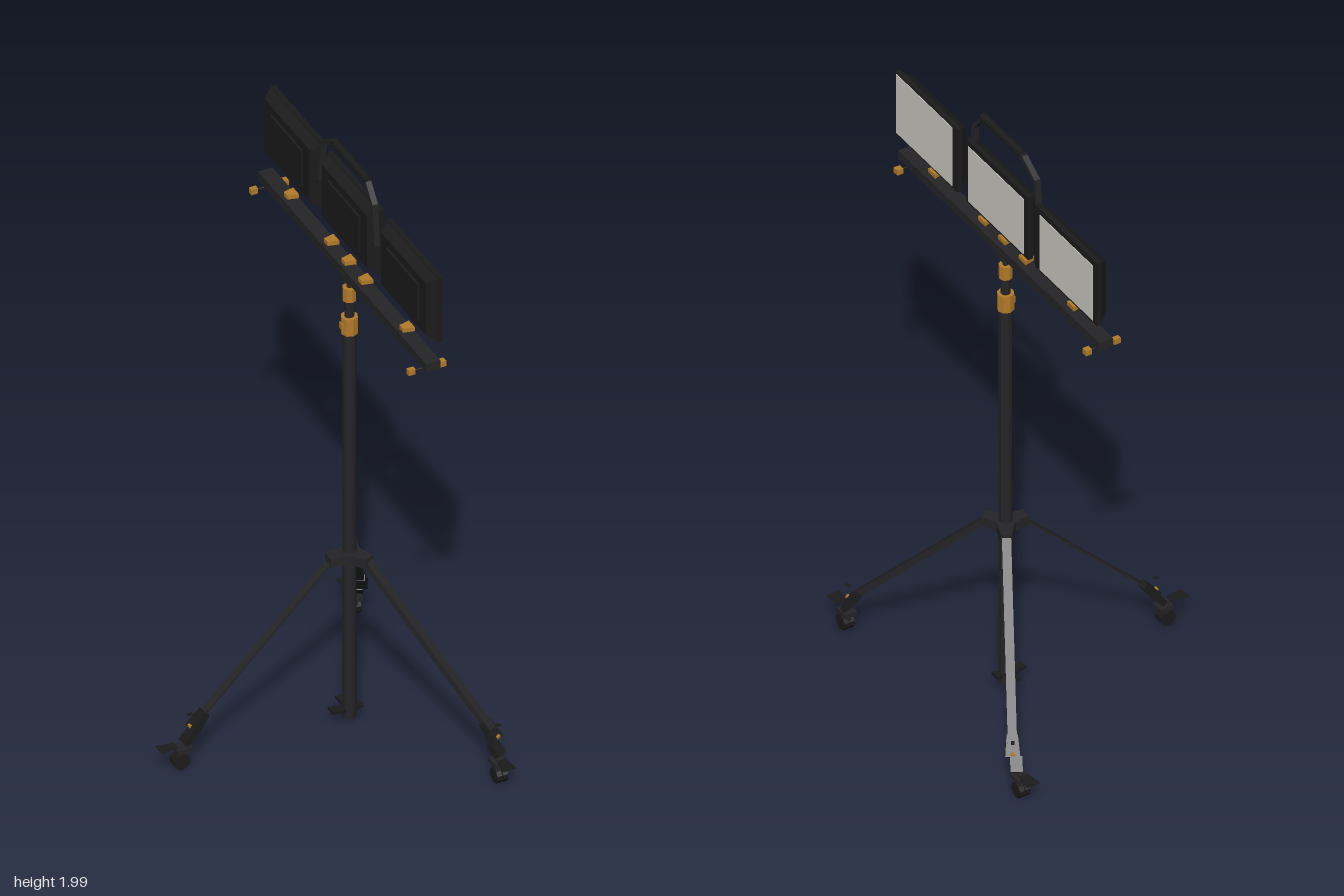
import * as THREE from 'three';

const std = (name, color) => {
  const m = new THREE.MeshStandardMaterial({ color });
  m.name = name;
  return m;
};

export function createModel() {
  const root = new THREE.Group();
  root.name = 'floodlightTripod';
  const dark = std('darkMetal', 0x252527);
  const black = std('blackPlastic', 0x1b1b1c);
  const brass = std('brassKnob', 0xb27a28);
  const glass = std('lampGlass', 0xcfcdc5);
  const MX = 0.168; // mast axis

  // Faceted mesh helper
  const add = (parent, name, geo, mat, x = 0, y = 0, z = 0) => {
    const g = geo.index ? geo.toNonIndexed() : geo;
    g.computeVertexNormals();
    const m = new THREE.Mesh(g, mat);
    m.name = name;
    m.position.set(x, y, z);
    parent.add(m);
    return m;
  };
  const box = (w, h, d) => new THREE.BoxGeometry(w, h, d);
  const cyl = (r, h, n = 10) => new THREE.CylinderGeometry(r, r, h, n);
  // Box whose -x end is scaled in y and z
  const taperBox = (w, h, d, ky, kz) => {
    const g = box(w, h, d), p = g.attributes.position;
    for (let i = 0; i < p.count; i++) {
      if (p.getX(i) < 0) p.setXYZ(i, p.getX(i), p.getY(i) * ky, p.getZ(i) * kz);
    }
    return g;
  };
  const group = (parent, name, x = 0, y = 0, z = 0) => {
    const g = new THREE.Group();
    g.name = name;
    g.position.set(x, y, z);
    parent.add(g);
    return g;
  };

  // Telescopic mast
  const mast = group(root, 'mast', MX, 0, 0);
  const tube = (name, r, y0, y1, mat, n = 10) => add(mast, name, cyl(r, y1 - y0, n), mat, 0, (y0 + y1) / 2, 0);
  tube('lowerTube', 0.0205, 0.02, 1.375, dark);
  tube('lowerCollar', 0.026, 1.372, 1.43, brass, 8);
  tube('middleTube', 0.0145, 1.43, 1.495, dark);
  tube('upperCollar', 0.021, 1.487, 1.533, brass, 8);
  tube('upperTube', 0.009, 1.533, 1.58, dark);
  add(mast, 'collarKnob', box(0.012, 0.02, 0.02), brass, -0.022, 1.4, 0);

  // Winged foot under the mast: angle and reach of each wing
  for (const [angle, reach] of [[0, 0.038], [Math.PI, 0.062], [Math.PI / 2, 0.058]]) {
    const wing = group(mast, 'footWing', 0, 0.05, 0);
    wing.rotation.y = angle;
    const plate = add(wing, 'wingPlate', taperBox(reach, 0.008, 0.034, 2.2, 0.5), black, reach / 2, 0, 0);
    plate.rotation.z = 0.2;
  }

  // Hub and legs, each built along local +x: angle, caster turn, strap thickness, caster shift
  add(mast, 'hubCore', cyl(0.036, 0.034, 6), dark, 0, 0.588, 0);
  const legs = [
    [Math.PI, 0, 0.006, 0, 0],
    [Math.PI / 3, Math.PI / 6, 0.02, -0.012, -0.021],
    [-Math.PI / 3, -Math.PI / 6, 0.02, -0.012, 0.021],
  ];
  legs.forEach(([angle, turn, thick, dx, dz], i) => {
    const leg = group(mast, 'leg' + i);
    leg.rotation.y = angle;
    add(leg, 'hubArm', taperBox(0.06, 0.032, 0.034, 1, 1.5), dark, 0.04, 0.588, 0);
    // Leg strap
    const x0 = 0.062, y0 = 0.586, x1 = 0.49, y1 = 0.16;
    const strap = add(leg, 'legStrap', box(Math.hypot(x1 - x0, y1 - y0), thick, 0.027), dark,
      (x0 + x1) / 2, (y0 + y1) / 2, 0);
    strap.rotation.z = Math.atan2(y1 - y0, x1 - x0);
    // Knuckle joining strap and caster
    const upper = add(leg, 'knuckle', taperBox(0.065, 0.03, 0.044, 0.7, 0.75), black, 0.488, 0.155, 0);
    upper.rotation.z = -0.9;
    const lower = add(leg, 'knuckleNeck', box(0.045, 0.018, 0.036), black, 0.521 + dx / 2, 0.108, dz / 2);
    lower.rotation.z = -0.85;
    add(leg, 'knuckleLever', box(0.016, 0.003, 0.01), black, 0.515, 0.186, 0);
    add(leg, 'knuckleKnob', box(0.014, 0.01, 0.014), brass, 0.512, 0.143, 0);
    // Caster with brake pedal
    const caster = group(leg, 'caster', 0.543 + dx, 0, dz);
    caster.rotation.y = turn;
    for (const s of [-1, 1]) {
      const wheel = add(caster, 'wheel', cyl(0.025, 0.016, 10), black, 0.004, 0.035, s * 0.0095);
      wheel.rotation.x = Math.PI / 2;
    }
    add(caster, 'casterFork', box(0.03, 0.05, 0.012), dark, -0.002, 0.058, 0);
    add(caster, 'casterCap', box(0.046, 0.014, 0.04), dark, -0.004, 0.073, 0);
    add(caster, 'brakePedal', taperBox(0.056, 0.002, 0.044, 1, 0.65), black, 0.044, 0.09, 0);
  });

  // Crossbar with end bolts
  add(root, 'crossbar', box(0.046, 0.03, 1.088), dark, MX, 1.59, 0);
  add(root, 'crossbarClamp', box(0.05, 0.03, 0.04), dark, MX, 1.577, 0);
  for (const z of [0.506, -0.514]) {
    const bolt = add(root, 'endBolt', cyl(0.0025, 0.1, 6), dark, MX - 0.005, 1.567, z);
    bolt.rotation.z = Math.PI / 2;
    add(root, 'endKnob', box(0.022, 0.018, 0.016), brass, 0.115, 1.566, z);
    add(root, 'endKnob', box(0.02, 0.018, 0.02), brass, 0.214, 1.566, z);
  }

  // Wing nuts above the crossbar
  for (const z of [0.377, 0.108, 0, -0.112, -0.373]) {
    add(root, 'wingNut', taperBox(0.034, 0.014, 0.038, 1, 0.6), brass, MX - 0.003, 1.625, z);
    add(root, 'wingNutStud', cyl(0.002, 0.016, 6), dark, MX, 1.612, z);
  }

  // Lamps: centre z, then glass extents zMin, zMax, yMin, yMax
  const lamps = [
    [0.378, 0.238, 0.54, 1.676, 1.888],
    [-0.004, -0.15, 0.152, 1.677, 1.876],
    [-0.376, -0.523, -0.236, 1.677, 1.875],
  ];
  lamps.forEach(([z, a, b, c, d], i) => {
    const lamp = group(root, 'lamp' + i);
    add(lamp, 'lampFrame', box(0.016, 0.226, 0.334), black, 0.191, 1.782, z);
    add(lamp, 'lampHousing', taperBox(0.03, 0.222, 0.33, 0.82, 0.88), black, 0.169, 1.782, z);
    add(lamp, 'lampGlass', box(0.004, d - c, b - a), glass, 0.199, (c + d) / 2, (a + b) / 2);
    add(lamp, 'rearCover', taperBox(0.006, 0.13, 0.21, 0.94, 0.96), black, 0.152, 1.782, z);
  });

  // Carrying handle: flat strap extruded across x
  const outer = [[0.186, 1.79], [0.174, 1.93], [0.13, 1.984], [-0.1, 1.989], [-0.168, 1.945], [-0.19, 1.79]];
  const inner = [[-0.178, 1.79], [-0.156, 1.938], [-0.095, 1.974], [0.126, 1.972], [0.16, 1.924], [0.172, 1.79]];
  const shape = new THREE.Shape([...outer, ...inner].map(([z, y]) => new THREE.Vector2(-z, y)));
  const strap = add(root, 'handleStrap',
    new THREE.ExtrudeGeometry(shape, { depth: 0.018, bevelEnabled: false }), dark, 0.156, 0, 0);
  strap.rotation.y = Math.PI / 2;
  const grip = add(root, 'handleGrip', cyl(0.013, 0.215, 8), black, 0.165, 1.987, 0.018);
  grip.rotation.x = Math.PI / 2;
  for (const z of [0.177, -0.184]) {
    const pivot = add(root, 'handlePivot', cyl(0.011, 0.014, 8), black, 0.165, 1.795, z);
    pivot.rotation.x = Math.PI / 2;
  }
  return root;
}
